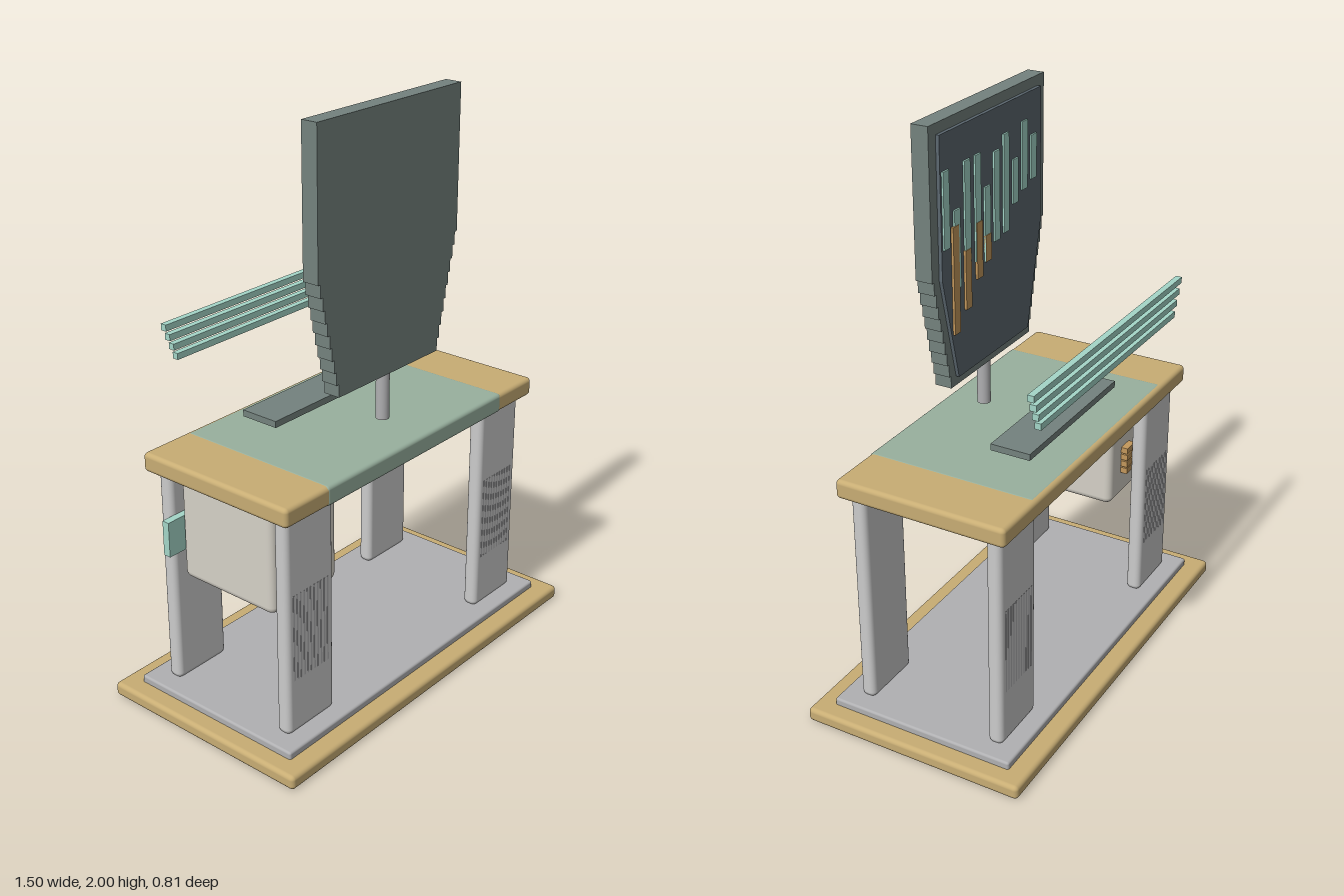
import * as THREE from 'three';
import { RoundedBoxGeometry } from 'three/addons/geometries/RoundedBoxGeometry.js';

const mat = (color) => new THREE.MeshStandardMaterial({ color });
const M = {
  wood: mat(0xc8ad74), metal: mat(0xb0b0b2), band: mat(0x98b09e), mint: mat(0xa4d6c8),
  shell: mat(0x74827e), screen: mat(0x5c6870), steel: mat(0xcccccc), cabinet: mat(0xd5d1c7), orange: mat(0xc4985c),
};

export function createModel() {
  const model = new THREE.Group();
  const add = (name, geometry, material) => {
    const mesh = new THREE.Mesh(geometry, material);
    mesh.name = name;
    model.add(mesh);
    return mesh;
  };
  // Box given by its limits, with an optional rounded edge
  const box = (name, material, [x0, x1], [y0, y1], [z0, z1], r = 0) => {
    const size = [x1 - x0, y1 - y0, z1 - z0];
    const g = r ? new RoundedBoxGeometry(...size, 3, r) : new THREE.BoxGeometry(...size);
    const mesh = add(name, g, material);
    mesh.position.set((x0 + x1) / 2, (y0 + y1) / 2, (z0 + z1) / 2);
    return mesh;
  };

  // Base and desktop
  box('basePlinth', M.wood, [-0.75, 0.75], [0, 0.05], [-0.405, 0.405], 0.015);
  box('basePlate', M.metal, [-0.685, 0.685], [0.04, 0.075], [-0.337, 0.337], 0.008);
  box('desktop', M.wood, [-0.652, 0.652], [0.848, 0.915], [-0.307, 0.307], 0.015);
  box('desktopInlay', M.band, [-0.463, 0.463], [0.847, 0.916], [-0.3, 0.308], 0.013);

  // Four slab legs with fine ribs on the outer face
  for (const sx of [-1, 1]) for (const sz of [-1, 1]) {
    const cx = sx * 0.508, cz = sz * 0.248;
    box('leg', M.steel, [cx - 0.112, cx + 0.112], [0.07, 0.86], [cz - 0.027, cz + 0.027], 0.02);
    for (let i = 0; i < 11; i++) {
      const x = cx + (i - 5) * 0.016, z = cz + sz * 0.027;
      box('legRib', M.metal, [x - 0.003, x + 0.003], [0.27, 0.58], [z - 0.001, z + 0.001]);
    }
  }

  // Hanging cabinet with its rear fittings
  box('cabinet', M.cabinet, [-0.6, -0.287], [0.478, 0.855], [-0.197, 0.197], 0.025);
  box('cabinetPanel', M.mint, [-0.66, -0.55], [0.575, 0.7], [-0.222, -0.195]);
  for (let i = 0; i < 4; i++) {
    const y = 0.575 + i * 0.027;
    box('cabinetHandle', M.orange, [-0.43, -0.37], [y, y + 0.022], [-0.222, -0.19]);
  }

  // Monitor outline: straight above, stepped taper below
  const steppedOutline = (top, shoulder, bottom, wide, narrow, steps) => {
    const side = [[wide, top], [wide, shoulder]];
    for (let i = 0; i < steps; i++) {
      const w = wide + (narrow - wide) * ((i + 1) / steps);
      side.push([w, shoulder + (bottom - shoulder) * (i / steps)]);
      side.push([w, shoulder + (bottom - shoulder) * ((i + 1) / steps)]);
    }
    const left = side.map(([x, y]) => [-x, y]).reverse();
    return new THREE.Shape([...side, ...left].map(([x, y]) => new THREE.Vector2(x, y)));
  };
  const slab = (shape, depth) => new THREE.ExtrudeGeometry(shape, { depth, bevelEnabled: false });
  add('monitorShell', slab(steppedOutline(2, 1.505, 1.108, 0.35, 0.255, 9), 0.06), M.shell).position.z = 0.118;
  const panel = [[-0.31, 1.965], [-0.31, 1.5], [-0.225, 1.14], [0.225, 1.14], [0.31, 1.5], [0.31, 1.965]];
  const panelShape = new THREE.Shape(panel.map(([x, y]) => new THREE.Vector2(x, y)));
  add('screen', slab(panelShape, 0.014), M.screen).position.z = 0.106;

  // Chart bars on the screen: x, bottom, top
  const bars = (material, name, z, list) => list.forEach(([x, y0, y1]) =>
    box(name, material, [x - 0.017, x + 0.017], [y0, y1], [z, 0.107]));
  bars(M.mint, 'mintBar', 0.1, [
    [0.285, 1.6, 1.85], [0.225, 1.45, 1.71], [0.163, 1.52, 1.85], [0.1, 1.5, 1.85], [0.043, 1.48, 1.73],
    [-0.015, 1.53, 1.83], [-0.075, 1.54, 1.87], [-0.135, 1.62, 1.77], [-0.195, 1.65, 1.88], [-0.255, 1.67, 1.82],
  ]);
  bars(M.orange, 'orangeBar', 0.098, [
    [0.238, 1.3, 1.66], [0.167, 1.36, 1.56], [0.097, 1.44, 1.63], [0.043, 1.48, 1.57],
  ]);

  // Stand and keyboard
  add('monitorStand', new THREE.CylinderGeometry(0.023, 0.023, 0.175, 24), M.metal).position.set(0, 1.03, 0.15);
  box('keyboard', M.shell, [-0.3, 0.3], [0.95, 0.973], [-0.197, -0.053]);

  // Row of horizontal rails behind the desk
  for (let i = 0; i < 4; i++) {
    const w = 0.475 + i * 0.015, y = 1.187 + i * 0.037;
    box('rail', M.mint, [-w, w], [y - 0.011, y + 0.011], [-0.333, -0.311]);
  }
  return model;
}
